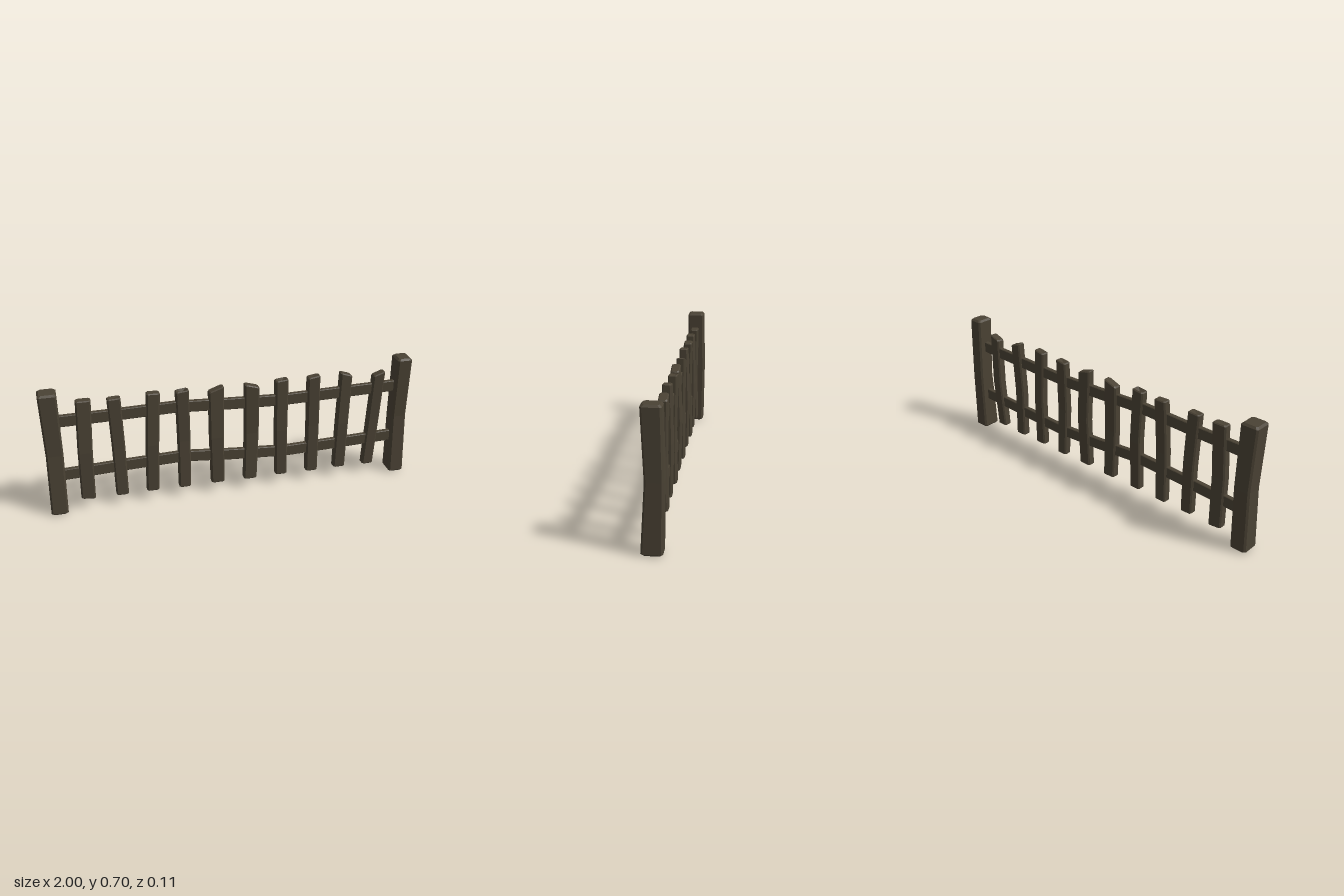
import * as THREE from 'three';

const wood = new THREE.MeshStandardMaterial({ color: 0x4a4234, flatShading: true });

// Chamfered beam lofted upward through sections { x, y, z, w, d, slope },
// with bevelled ends; dip lowers the middle of the upper end.
function beam(sections, chamfer, bevel, dip = 0) {
  const first = sections[0], last = sections[sections.length - 1];
  const inset = (s, y) => ({ ...s, y, w: s.w - 2 * bevel, d: s.d - 2 * bevel });
  const rows = [
    inset(first, first.y),
    { ...first, y: first.y + bevel },
    ...sections.slice(1, -1),
    { ...last, y: last.y - bevel },
    inset(last, last.y),
  ];
  const pos = [], idx = [], n = 8;
  for (const { x, y, z, w, d, slope = 0 } of rows) {
    const a = w / 2, b = d / 2, c = chamfer;
    const ring = [
      [a, -b + c], [a, b - c], [a - c, b], [-a + c, b],
      [-a, b - c], [-a, -b + c], [-a + c, -b], [a - c, -b],
    ];
    for (const [u, v] of ring) pos.push(x + u, y + slope * u, z + v);
  }
  for (let r = 0; r < rows.length - 1; r++) {
    for (let i = 0; i < n; i++) {
      const a = r * n + i, b = r * n + (i + 1) % n;
      idx.push(a, a + n, b, b, a + n, b + n);
    }
  }
  // end caps
  const bottom = pos.length / 3, top = bottom + 1, t = (rows.length - 1) * n;
  pos.push(first.x, first.y, first.z, last.x, last.y - dip, last.z);
  for (let i = 0; i < n; i++) {
    const j = (i + 1) % n;
    idx.push(bottom, i, j, top, t + j, t + i);
  }
  const geo = new THREE.BufferGeometry();
  geo.setAttribute('position', new THREE.Float32BufferAttribute(pos, 3));
  geo.setIndex(idx);
  const flat = geo.toNonIndexed();
  flat.computeVertexNormals();
  return flat;
}

export function createModel() {
  const fence = new THREE.Group();
  fence.name = 'fence';
  const add = (name, geo) => {
    const mesh = new THREE.Mesh(geo, wood);
    mesh.name = name;
    fence.add(mesh);
  };

  // End posts, slightly bowed
  add('rightPost', beam([
    { x: -0.95, y: 0, z: 0.004, w: 0.09, d: 0.1 },
    { x: -0.945, y: 0.35, z: -0.006, w: 0.09, d: 0.092 },
    { x: -0.952, y: 0.7, z: 0.002, w: 0.096, d: 0.096 },
  ], 0.009, 0.01));
  add('leftPost', beam([
    { x: 0.957, y: 0, z: 0.003, w: 0.084, d: 0.102 },
    { x: 0.953, y: 0.35, z: -0.009, w: 0.08, d: 0.088 },
    { x: 0.951, y: 0.7, z: 0.002, w: 0.082, d: 0.096 },
  ], 0.009, 0.01));

  // Wavy rails, lofted upright and then laid along x: [x, height]
  const rails = {
    upperRail: [[-0.94, 0.531], [-0.6, 0.535], [-0.3, 0.542], [0, 0.526], [0.27, 0.516], [0.6, 0.523], [0.94, 0.53]],
    lowerRail: [[-0.94, 0.217], [-0.6, 0.232], [-0.27, 0.243], [0, 0.219], [0.3, 0.201], [0.6, 0.21], [0.94, 0.222]],
  };
  for (const [name, path] of Object.entries(rails)) {
    const sections = path.map(([x, h]) => ({ x: -h, y: x, z: 0, w: 0.062, d: 0.026 }));
    add(name, beam(sections, 0.003, 0.003).rotateZ(-Math.PI / 2));
  }

  // Slats: bottom x, top x, bottom width, top width, top y, top slope, mid z, dip
  const slats = [
    [-0.792, -0.777, 0.075, 0.078, 0.635, 0, 0.004, 0],
    [-0.61, -0.623, 0.066, 0.07, 0.633, 0.05, -0.003, 0.006],
    [-0.444, -0.42, 0.066, 0.07, 0.636, -0.04, 0.004, 0],
    [-0.268, -0.27, 0.064, 0.07, 0.636, 0.1, -0.004, 0.016],
    [-0.083, -0.088, 0.072, 0.08, 0.622, 0.35, 0.003, 0],
    [0.099, 0.104, 0.072, 0.08, 0.624, -0.3, -0.005, 0],
    [0.278, 0.27, 0.064, 0.07, 0.634, 0.1, 0.004, 0.01],
    [0.455, 0.446, 0.066, 0.068, 0.638, 0.15, -0.003, 0.004],
    [0.62, 0.632, 0.066, 0.066, 0.63, -0.35, 0.004, 0],
    [0.79, 0.818, 0.062, 0.066, 0.617, 0.35, -0.004, 0],
  ];
  slats.forEach(([bx, tx, bw, tw, ty, slope, z, dip], i) => {
    const mid = (bx + tx) / 2 - z, w = (bw + tw) / 2;
    add(`slat${i + 1}`, beam([
      { x: bx, y: 0.058, z: -z / 2, w: bw, d: 0.046, slope: i === 0 ? -0.1 : 0 },
      { x: mid, y: 0.34, z, w, d: 0.048 },
      { x: tx, y: ty, z: -z, w: tw, d: 0.046, slope },
    ], 0.007, 0.005, dip));
  });

  return fence;
}
